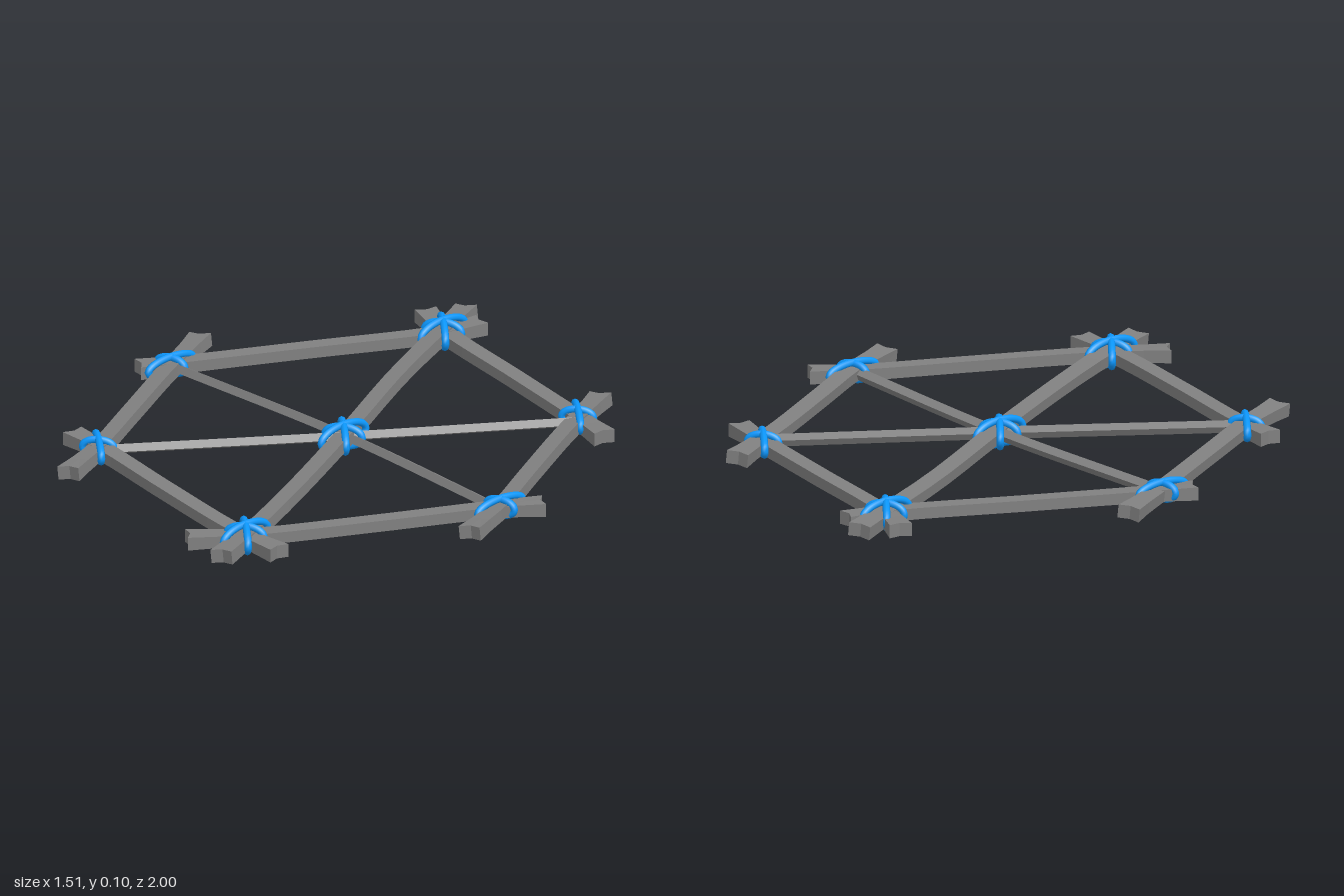
import * as THREE from 'three';

const wood = new THREE.MeshStandardMaterial({ color: 0x808080, flatShading: true });
const rope = new THREE.MeshStandardMaterial({ color: 0x0c98ff });
const MID_Y = 0.046;

// Squared timber lofted along a bent path of [x, z] points, with flared, notched ends.
function beam(name, path, { width = 0.052, height = 0.034, flare = 0.016, notch = 0.011, y = MID_Y, roll = 0 } = {}) {
  const curve = new THREE.CatmullRomCurve3(path.map(([x, z]) => new THREE.Vector3(x, y, z)));
  const rows = 14, pos = [], index = [];
  const cos = Math.cos(roll), sin = Math.sin(roll);
  for (let i = 0; i <= rows; i++) {
    const t = i / rows;
    const p = curve.getPointAt(t), d = curve.getTangentAt(t);
    const f = Math.pow(Math.abs(2 * t - 1), 6);
    const w = (width + flare * f) / 2, h = (height + flare * 0.4 * f) / 2;
    const inset = i === 0 ? notch : i === rows ? -notch : 0;
    // Ring of six: right, middle, left along the top, then back along the bottom
    for (const [s, u] of [[1, 1], [0, 1], [-1, 1], [-1, -1], [0, -1], [1, -1]]) {
      const along = s === 0 ? inset : 0;
      const side = s * w * cos + u * h * sin;
      const up = u * h * cos - s * w * sin;
      pos.push(p.x - d.z * side + d.x * along, p.y + up, p.z + d.x * side + d.z * along);
    }
  }
  for (let i = 0; i < rows; i++) {
    for (let j = 0; j < 6; j++) {
      const a = i * 6 + j, b = i * 6 + (j + 1) % 6;
      index.push(a, a + 6, b + 6, a, b + 6, b);
    }
  }
  // End caps
  const e = rows * 6;
  for (const [a, b, c, d] of [[0, 1, 4, 5], [1, 2, 3, 4]]) {
    index.push(a, b, c, a, c, d, e + a, e + c, e + b, e + a, e + d, e + c);
  }
  const geo = new THREE.BufferGeometry();
  geo.setAttribute('position', new THREE.Float32BufferAttribute(pos, 3));
  geo.setIndex(index);
  geo.computeVertexNormals();
  const mesh = new THREE.Mesh(geo, wood);
  mesh.name = name;
  return mesh;
}

// Upright oval loop of cord; angle is its heading seen from above.
function loop(halfLength, halfHeight, angle) {
  const tube = 0.011, pts = [];
  for (let i = 0; i < 16; i++) {
    const a = (i / 16) * Math.PI * 2;
    pts.push(new THREE.Vector3(Math.cos(a) * (halfLength - tube), Math.sin(a) * (halfHeight - tube), 0));
  }
  const path = new THREE.CatmullRomCurve3(pts, true);
  const mesh = new THREE.Mesh(new THREE.TubeGeometry(path, 40, tube, 8, true), rope);
  mesh.rotation.y = angle;
  mesh.name = 'cordLoop';
  return mesh;
}

function lashing(name, x, z, y, loops) {
  const group = new THREE.Group();
  group.name = name;
  group.position.set(x, y, z);
  for (const [length, height, angle] of loops) group.add(loop(length, height, angle));
  return group;
}

export function createModel() {
  const model = new THREE.Group();
  model.name = 'lashedHexagonFrame';

  // Long beams running front to back, each leaning slightly
  const roll = 0.1;
  model.add(
    beam('centreBeam', [[0, -1], [-0.01, -0.5], [0.01, 0], [0.02, 0.5], [0.015, 0.8], [0, 0.995]], { y: 0.047, roll }),
    beam('rightSideBeam', [[-0.648, -0.525], [-0.648, -0.25], [-0.635, 0.1], [-0.627, 0.36], [-0.643, 0.565]], { roll }),
    beam('leftSideBeam', [[0.602, -0.525], [0.6, -0.25], [0.615, 0.1], [0.627, 0.36], [0.61, 0.565]], { roll }),
  );

  // Sloping beams closing the hexagon at the back and front
  model.add(
    beam('backRightBeam', [[-0.737, -0.245], [-0.64, -0.32], [-0.33, -0.56], [0, -0.815], [0.08, -0.917]], { y: 0.045 }),
    beam('backLeftBeam', [[0.717, -0.253], [0.6, -0.35], [0.32, -0.57], [0, -0.82], [-0.105, -0.937]], { y: 0.044 }),
    beam('frontRightBeam', [[-0.737, 0.29], [-0.62, 0.36], [-0.33, 0.582], [-0.02, 0.81], [0.145, 0.902]], { y: 0.045 }),
    beam('frontLeftBeam', [[0.737, 0.29], [0.62, 0.36], [0.33, 0.585], [0.03, 0.81], [-0.145, 0.902]], { y: 0.044 }),
  );

  // Thin diagonal braces through the middle, rolled onto an edge
  const thin = { width: 0.028, height: 0.024, flare: 0, notch: 0, roll: -0.5 };
  model.add(
    beam('diagonalBrace', [[-0.66, -0.305], [0.01, 0.01], [0.62, 0.36]], thin),
    beam('diagonalBrace', [[-0.62, 0.36], [0.01, 0.01], [0.61, -0.34]], thin),
  );

  // Three crossed loops where the centre beam meets the others
  const star = [[0.1, 0.048, 1.12], [0.1, 0.046, -1.12], [0.068, 0.042, 0.08]];
  model.add(
    lashing('backLashing', -0.005, -0.82, 0.051, star),
    lashing('centreLashing', 0.005, 0.015, 0.048, star),
    lashing('frontLashing', 0.01, 0.825, 0.051, star),
  );

  // One long and one short loop at each side corner
  for (const [name, x, z, side, tilt] of [
    ['backRightLashing', -0.655, -0.3, 1, -0.16],
    ['backLeftLashing', 0.592, -0.36, -1, 0.2],
    ['frontRightLashing', -0.63, 0.355, -1, 0.2],
    ['frontLeftLashing', 0.625, 0.355, 1, -0.14],
  ]) {
    model.add(lashing(name, x, z, 0.05, [[0.1, 0.038, side * 1.1], [0.058, 0.036, tilt]]));
  }
  return model;
}
